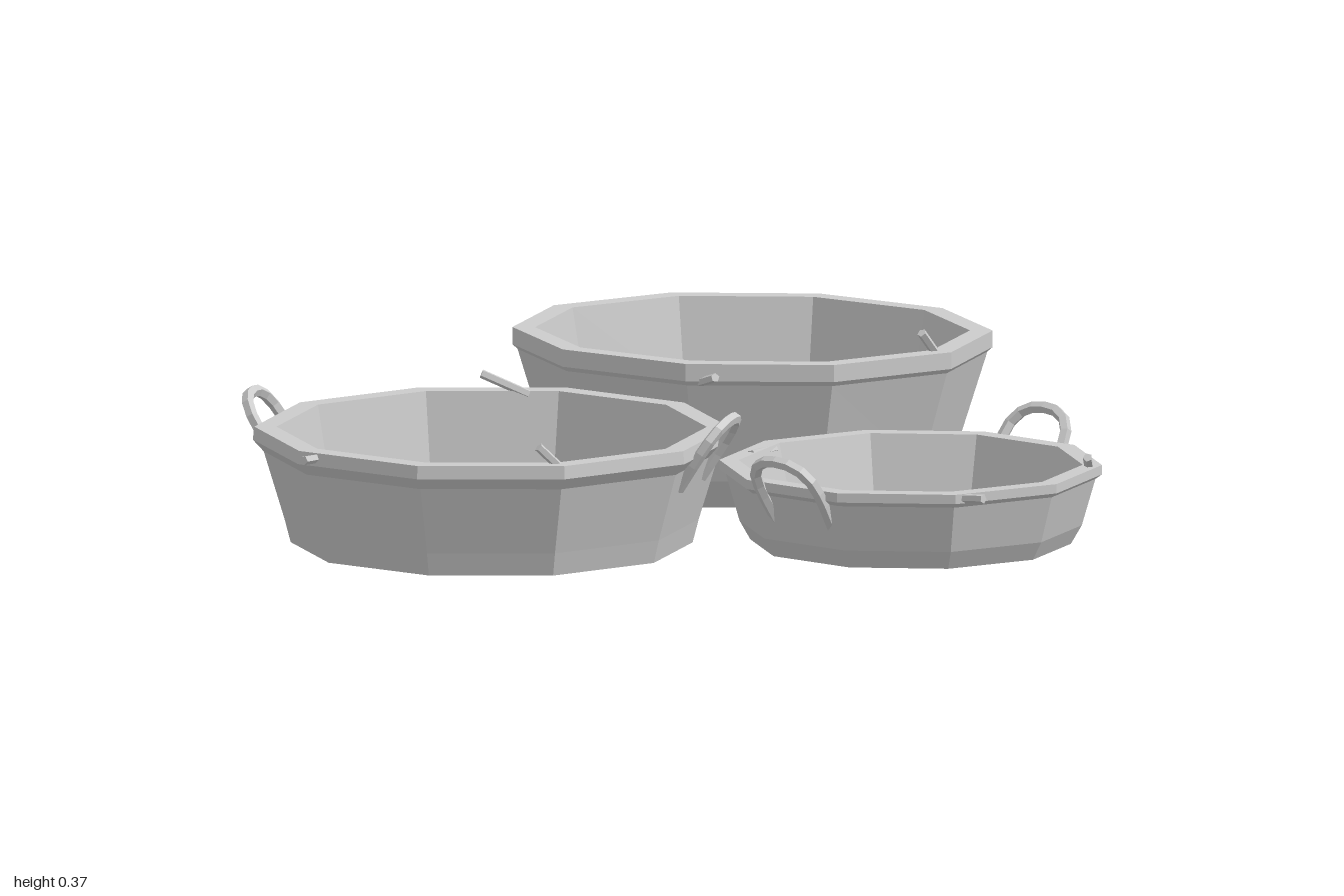
import * as THREE from 'three';

const material = new THREE.MeshStandardMaterial({ color: 0xcccccc, flatShading: true });
const SIDES = 10;

// Each basket: profile [radius, y] up the outside wall, over the rim, down to the floor
const baskets = [
  {
    name: 'mediumBasket', x: -0.47, z: -0.295, turn: 0, tilt: 0,
    profile: [[0, 0], [0.425, 0], [0.438, 0.05], [0.482, 0.195], [0.505, 0.22], [0.502, 0.248], [0.455, 0.248], [0.422, 0.07], [0, 0.07]],
    handles: [{ edge: 0, r: 0.445, y: 0.15 }, { edge: 5, r: 0.445, y: 0.15 }],
  },
  {
    name: 'largeBasket', x: 0.505, z: -0.325, turn: 0.035, tilt: 0.035,
    profile: [[0, 0], [0.4, 0], [0.432, 0.06], [0.497, 0.27], [0.508, 0.28], [0.508, 0.316], [0.46, 0.316], [0.422, 0.11], [0, 0.11]],
    handles: [],
  },
  {
    name: 'smallBasket', x: 0.06, z: 0.415, turn: -0.075, tilt: 0,
    profile: [[0, 0], [0.34, 0], [0.363, 0.04], [0.392, 0.14], [0.406, 0.15], [0.406, 0.17], [0.365, 0.17], [0.335, 0.05], [0, 0.05]],
    handles: [{ edge: 2, r: 0.35, y: 0.085 }, { edge: 7, r: 0.35, y: 0.085 }],
  },
];

// Loose reed ends poking out around the rims: from, to
const reeds = [
  [[-0.93, 0.235, -0.41], [-1.0, 0.24, -0.4]],
  [[-0.07, 0.24, -0.49], [-0.13, 0.285, -0.57]],
  [[-0.74, 0.24, 0.08], [-0.78, 0.285, 0.055]],
  [[0.065, 0.28, -0.15], [0.03, 0.305, -0.075]],
  [[0.52, 0.315, 0.14], [0.475, 0.36, 0.14]],
  [[-0.18, 0.16, 0.73], [-0.185, 0.165, 0.785]],
  [[0.255, 0.165, 0.74], [0.215, 0.195, 0.765]],
  [[0.07, 0.16, 0.05], [-0.04, 0.165, 0.07]],
];

function makeBowl({ profile, tilt }) {
  const geometry = new THREE.LatheGeometry(profile.map(([r, y]) => new THREE.Vector2(r, y)), SIDES);
  // Let the rim sag slightly to one side
  const p = geometry.attributes.position;
  for (let i = 0; i < p.count; i++) {
    const y = p.getY(i);
    p.setY(i, y * (1 - tilt * p.getX(i) / 0.5));
  }
  geometry.computeVertexNormals();
  const bowl = new THREE.Mesh(geometry, material);
  bowl.name = 'bowl';
  return bowl;
}

// Arched handle leaning outward from the middle of one wall panel
function makeHandle({ edge, r, y }) {
  const arch = [[-0.078, 0], [-0.082, 0.08], [-0.07, 0.118], [-0.035, 0.14], [0.035, 0.14], [0.07, 0.118], [0.082, 0.08], [0.078, 0]];
  const path = new THREE.CurvePath();
  const points = arch.map(([u, h]) => new THREE.Vector3(u, y + h, r - 0.005 + h * 0.65));
  for (let i = 1; i < points.length; i++) path.add(new THREE.LineCurve3(points[i - 1], points[i]));
  const curve = new THREE.CatmullRomCurve3(points);
  const handle = new THREE.Mesh(new THREE.TubeGeometry(curve, 14, 0.013, 5), material);
  handle.name = 'handle';
  handle.rotation.y = (edge + 0.5) * Math.PI * 2 / SIDES;
  return handle;
}

function makeReed([from, to]) {
  const a = new THREE.Vector3(...from), b = new THREE.Vector3(...to);
  const dir = b.clone().sub(a);
  const reed = new THREE.Mesh(new THREE.CylinderGeometry(0.01, 0.01, dir.length(), 5), material);
  reed.position.copy(a).add(b).multiplyScalar(0.5);
  reed.quaternion.setFromUnitVectors(new THREE.Vector3(0, 1, 0), dir.normalize());
  reed.name = 'reedEnd';
  return reed;
}

export function createModel() {
  const model = new THREE.Group();
  model.name = 'threeBaskets';
  for (const spec of baskets) {
    const basket = new THREE.Group();
    basket.name = spec.name;
    basket.add(makeBowl(spec), ...spec.handles.map(makeHandle));
    basket.position.set(spec.x, 0, spec.z);
    basket.rotation.y = spec.turn;
    model.add(basket);
  }
  const reedEnds = new THREE.Group();
  reedEnds.name = 'reedEnds';
  reedEnds.add(...reeds.map(makeReed));
  model.add(reedEnds);
  return model;
}
